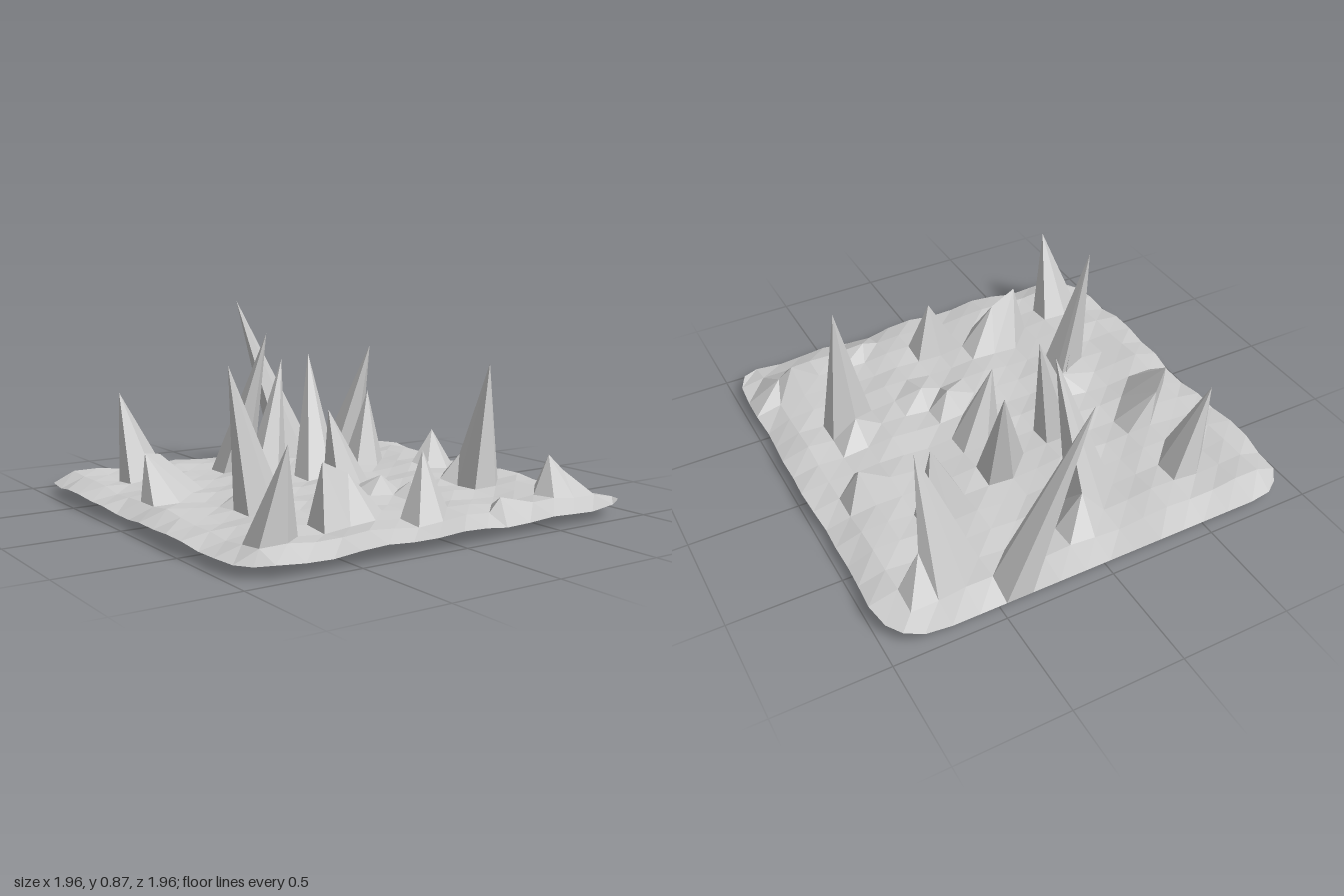
import * as THREE from 'three';

const HALF = 8;              // grid cells from the centre to the edge
const STEP = 0.1215;         // grid spacing
const CORNER = 0.2;          // radius of the plate corners

// Spikes: grid vertex (column, row) and the tip it is pulled to (x, y, z)
const SPIKES = [
  [3, -7, 0.08, 0.87, -0.915], [-1, -5, -0.03, 0.74, -0.44], [0, -6, -0.01, 0.22, -0.72],
  [1, -2, 0.22, 0.63, -0.46], [4, -3, 0.53, 0.43, -0.39], [5, -6, 0.69, 0.635, -0.59],
  [6, -6, 0.75, 0.24, -0.72], [-4, 2, -0.63, 0.685, 0.25], [-2, -1, -0.09, 0.64, -0.21],
  [5, 3, 0.61, 0.635, 0.43], [5, 2, 0.62, 0.19, 0.22], [6, -1, 0.77, 0.24, -0.17],
  [1, 0, 0.035, 0.42, -0.01], [-5, -5, -0.7, 0.48, -0.65], [-6, -1, -0.78, 0.27, -0.22],
  [-5, -2, -0.66, 0.24, -0.32], [-6, 6, -0.72, 0.46, 0.84], [-3, 5, -0.43, 0.33, 0.63],
  [-2, 5, -0.3, 0.27, 0.62], [0, 6, 0.02, 0.34, 0.69], [6, 6, 0.76, 0.24, 0.66],
  [7, 6, 0.82, 0.17, 0.69], [-4, 1, -0.4, 0.16, 0.09], [1, 2, 0.14, 0.15, 0.25],
  [3, 7, 0.33, 0.13, 0.82], [2, 3, 0.23, 0.13, 0.35],
];
const NEIGHBOURS = [[1, 0], [-1, 0], [0, 1], [0, -1], [1, -1], [-1, 1]];

const noise = (i, j) => Math.sin(i * 1.7 + j * 0.9) * 0.6 + Math.sin(j * 2.3 - i * 0.6 + 1) * 0.4;

// Keep a point inside the rounded square outline
function roundCorner(x, z) {
  const c = HALF * STEP - CORNER;
  const dx = Math.abs(x) - c, dz = Math.abs(z) - c;
  if (dx > 0 && dz > 0) {
    const k = Math.min(1, CORNER / Math.hypot(dx, dz));
    x = Math.sign(x) * (c + dx * k);
    z = Math.sign(z) * (c + dz * k);
  }
  return [x, z];
}

// Resting position of a grid vertex on the upper or lower face
function plateVertex(i, j, upper) {
  const edge = Math.max(Math.abs(i), Math.abs(j)) === HALF;
  const n = noise(i, j);
  let [x, z] = roundCorner(i * STEP, j * STEP);
  if (edge) {
    const wave = 1 + 0.012 * n;
    return new THREE.Vector3(x * wave, 0.055 + 0.015 * n, z * wave);
  }
  const dip = 0.035 * Math.exp(-((x + 0.72) ** 2 + (z - 0.49) ** 2) / 0.03);
  return new THREE.Vector3(x, upper ? 0.085 + 0.015 * n : 0.035 + 0.01 * n - dip, z);
}

// One face of the plate; the lower one has narrower, shallower hollows under the spikes
function plateFace(upper) {
  const size = 2 * HALF + 1;
  const index = (i, j) => (j + HALF) * size + i + HALF;
  const points = [];
  for (let j = -HALF; j <= HALF; j++)
    for (let i = -HALF; i <= HALF; i++) points.push(plateVertex(i, j, upper));

  const isSpike = (i, j) => SPIKES.some((s) => s[0] === i && s[1] === j);
  for (const [i, j, x, y, z] of SPIKES) {
    const tip = new THREE.Vector3(x, y, z);
    if (upper) {
      points[index(i, j)].copy(tip);
      continue;
    }
    points[index(i, j)].lerp(tip, 0.7);
    for (const [di, dj] of NEIGHBOURS) {
      const a = i + di, b = j + dj;
      if (Math.max(Math.abs(a), Math.abs(b)) === HALF || isSpike(a, b)) continue;
      points[index(a, b)].x -= di * STEP * 0.28;
      points[index(a, b)].z -= dj * STEP * 0.28;
    }
  }

  const faces = [];
  const triangle = (a, b, c) => faces.push(...(upper ? [a, b, c] : [a, c, b]));
  for (let j = -HALF; j < HALF; j++)
    for (let i = -HALF; i < HALF; i++) {
      const a = index(i, j), b = index(i + 1, j), c = index(i, j + 1), d = index(i + 1, j + 1);
      triangle(a, c, b);
      triangle(b, c, d);
    }
  const geometry = new THREE.BufferGeometry().setFromPoints(points);
  geometry.setIndex(faces);
  geometry.computeVertexNormals();
  return geometry;
}

export function createModel() {
  const group = new THREE.Group();
  group.name = 'spikedPlate';
  const material = new THREE.MeshStandardMaterial({
    color: 0xcccccc, flatShading: true, side: THREE.DoubleSide,
  });
  // Spiked upper face and hollowed underside meet at the rim
  for (const [name, upper] of [['spikedTop', true], ['underside', false]]) {
    const mesh = new THREE.Mesh(plateFace(upper), material);
    mesh.name = name;
    group.add(mesh);
  }
  return group;
}
